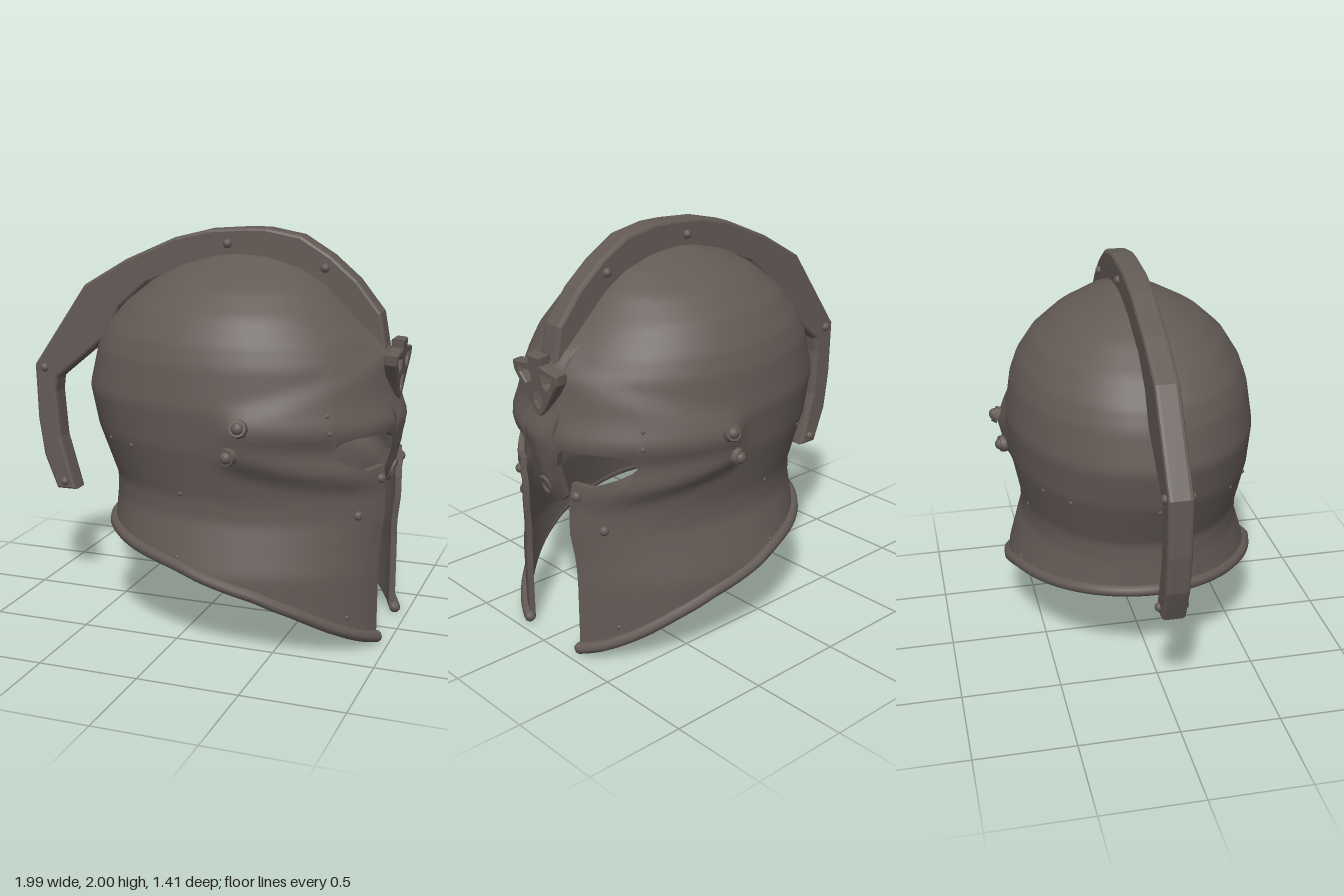
import * as THREE from 'three';
import { mergeGeometries, mergeVertices } from 'three/addons/utils/BufferGeometryUtils.js';

const CX = 0.2, TOP = 1.885, CHEEK = 0.33;

// Shell levels: height, back x, front x, half width
const LEVELS = [
  [0, -0.52, 0.98, 0.64], [0.4, -0.52, 0.98, 0.64], [0.5, -0.5, 0.98, 0.61],
  [0.65, -0.49, 1.0, 0.565], [0.75, -0.49, 1.0, 0.565], [0.85, -0.53, 0.98, 0.585],
  [1.0, -0.59, 0.955, 0.615], [1.2, -0.635, 0.94, 0.63], [1.4, -0.59, 0.9, 0.6],
  [1.5, -0.545, 0.84, 0.565], [1.62, -0.44, 0.73, 0.49], [1.73, -0.3, 0.62, 0.37],
  [1.81, -0.15, 0.5, 0.22], [1.86, 0.02, 0.35, 0.1], [TOP, 0.15, 0.16, 0.005],
];
// Opening edges by angle from the face, and the lower rim by x
const UPPER_EDGE = [[0, 0.75], [0.09, 0.755], [0.155, 0.79], [0.165, 0.97], [0.2, 1.04],
  [0.25, 1.065], [0.6, 1.07], [0.72, 1.05], [0.78, 1.0]];
const LOWER_EDGE = [[0.33, 0.91], [0.5, 0.9], [0.66, 0.94], [0.74, 0.97], [0.78, 1.0]];
const RIM = [[-0.52, 0.505], [-0.1, 0.455], [0.04, 0.435], [0.43, 0.32], [0.63, 0.23], [0.8, 0.125], [0.94, 0.032]];

function lookup(table, t, k = 1) {
  if (t <= table[0][0]) return table[0][k];
  for (let i = 1; i < table.length; i++) {
    const p = table[i - 1], q = table[i];
    if (t <= q[0]) return p[k] + (q[k] - p[k]) * (t - p[0]) / (q[0] - p[0]);
  }
  return table[table.length - 1][k];
}
const smooth = THREE.MathUtils.smoothstep;
const bell = (d, w) => Math.exp(-(d * d) / (w * w));

// Raised face mask, brow ridge, under-eye ridge and blend into the crest
function relief(a, y) {
  const s = Math.min(a / 1.4, 1), fade = 1 - smooth(a, 1.35, 1.55);
  const hi = 1.5 - 0.29 * s, lo = 0.8 + 0.14 * s * s;
  const mask = smooth(y, lo - 0.04, lo + 0.04) * (1 - smooth(y, hi - 0.08, hi + 0.04));
  return fade * (0.02 * mask + 0.03 * bell(y - 1.11, 0.07)
    + 0.018 * bell(y - lo - 0.05, 0.06) * smooth(a, 0.4, 0.8))
    + 0.03 * bell(a, 0.15) * bell(y - 1.46, 0.1) + 0.012 * bell(a, 0.06) * bell(y - 0.95, 0.2);
}

// Point on the shell at an angle (0 = face) and height
function shell(theta, y, inner = false) {
  const a = Math.abs(theta), c = Math.cos(theta), s = Math.sin(theta);
  const end = lookup(LEVELS, y, c >= 0 ? 2 : 1), half = lookup(LEVELS, y, 3);
  const cx = CX - 0.045 * smooth(y, 1.6, TOP);
  const r = relief(a, y);
  let x = cx + Math.abs(end - cx) * c + r * c;
  let z = half * s + r * s;
  if (a < 0.2) x -= 0.1 * THREE.MathUtils.clamp((1 - y) / 0.25, 0, 1);
  if (inner) {
    x = CX + (x - CX) * 0.96;
    z *= 0.96;
    y -= 0.03 * smooth(y, 1.5, TOP);
  }
  return new THREE.Vector3(x, y, z);
}
const upperEdge = t => lookup(UPPER_EDGE, Math.abs(t));
const lowerEdge = t => lookup(LOWER_EDGE, Math.abs(t));
const rimY = t => lookup(RIM, shell(t, 0.4).x);

// Grid of points f(i, j) turned into faces
function grid(nu, nv, f, flip = false) {
  const pos = [], idx = [];
  for (let i = 0; i <= nu; i++) for (let j = 0; j <= nv; j++) pos.push(...f(i, j).toArray());
  for (let i = 0; i < nu; i++) for (let j = 0; j < nv; j++) {
    const a = i * (nv + 1) + j, b = a + 1, c = a + nv + 1, d = c + 1;
    idx.push(...(flip ? [a, c, b, b, c, d] : [a, b, c, b, d, c]));
  }
  const g = new THREE.BufferGeometry();
  g.setAttribute('position', new THREE.Float32BufferAttribute(pos, 3));
  g.setIndex(idx);
  return g;
}

export function createModel() {
  const root = new THREE.Group();
  const helmet = new THREE.Group();
  helmet.name = 'helmet';
  helmet.position.z = -0.01;
  root.add(helmet);

  const metal = new THREE.MeshStandardMaterial({ color: 0x635a55, side: THREE.DoubleSide });
  metal.name = 'dark bronze';
  const add = (name, geometry, parent = helmet) => {
    const m = new THREE.Mesh(geometry, metal);
    m.name = name;
    parent.add(m);
    return m;
  };

  // Angle columns, closer together around the face
  const half = [0, 0.045, 0.09, 0.155, 0.165, 0.2, 0.25, CHEEK, 0.42, 0.5, 0.6, 0.66, 0.72, 0.74, 0.78];
  for (let i = 1; i <= 36; i++) half.push(0.78 + (Math.PI - 0.78) * i / 36);
  const all = [...half.slice(1).reverse().map(t => -t), ...half];
  const left = all.filter(t => t >= CHEEK), right = all.filter(t => t <= -CHEEK);

  // Dome, nose guard, cheeks and neck as outer and inner skins
  for (const inner of [false, true]) {
    const dome = grid(all.length - 1, 40, (i, j) => {
      const e = upperEdge(all[i]), v = 1 - Math.pow(1 - j / 40, 1.5);
      return shell(all[i], e + (TOP - e) * v, inner);
    }, inner);
    const lower = [left, right].map(cols => grid(cols.length - 1, 20, (i, j) => {
      const b = rimY(cols[i]);
      return shell(cols[i], b + (lowerEdge(cols[i]) - b) * j / 20, inner);
    }, inner));
    const g = mergeVertices(mergeGeometries([dome, ...lower]), 1e-4);
    g.computeVertexNormals();
    add(inner ? 'innerShell' : 'outerShell', g);
  }

  // Thickness along the face opening
  const edge = (name, pts) => {
    const g = grid(pts.length - 1, 1, (i, j) => shell(pts[i][0], pts[i][1], j === 1)).toNonIndexed();
    g.computeVertexNormals();
    add(name, g);
  };
  edge('browEdge', all.filter(t => Math.abs(t) < 0.79).map(t => [t, upperEdge(t)]));
  for (const s of [1, -1]) {
    const front = [];
    for (let i = 0; i <= 16; i++) {
      const b = rimY(CHEEK);
      front.push([s * CHEEK, b + (lowerEdge(CHEEK) - b) * i / 16]);
    }
    edge('cheekEdge', front);
    edge('eyeEdge', left.filter(t => t < 0.79).map(t => [s * t, lowerEdge(t)]));
  }

  // Rolled rim around the neck and cheeks
  const rimPts = [];
  for (let i = 0; i <= 48; i++) {
    const t = CHEEK + (2 * Math.PI - 2 * CHEEK) * i / 48;
    const w = t > Math.PI ? t - 2 * Math.PI : t;
    rimPts.push(shell(w, rimY(w)));
  }
  const rimCurve = new THREE.CatmullRomCurve3(rimPts);
  add('rolledRim', new THREE.TubeGeometry(rimCurve, 120, 0.03, 8));
  for (const p of [rimPts[0], rimPts[48]]) add('rimEnd', new THREE.SphereGeometry(0.03, 8, 6)).position.copy(p);

  // Crest bar that sweeps over the dome and hangs behind
  const outer = [[-0.87, 0.575], [-0.94, 0.75], [-0.97, 0.95], [-0.98, 1.24], [-0.685, 1.67], [-0.45, 1.81],
    [-0.18, 1.93], [0, 1.975], [0.2, 1.99], [0.3, 1.99], [0.47, 1.96], [0.62, 1.87], [0.75, 1.76], [0.87, 1.61],
    [0.9, 1.45]];
  const under = [[0.8, 1.45], [0.7, 1.62], [0.55, 1.74], [0.4, 1.81], [0.15, 1.85], [-0.1, 1.81],
    [-0.35, 1.71], [-0.5, 1.58], [-0.58, 1.42], [-0.87, 1.18], [-0.88, 1.1], [-0.86, 0.85], [-0.78, 0.575]];
  const bar = new THREE.Shape([...outer, ...under].map(p => new THREE.Vector2(...p)));
  const barGeo = new THREE.ExtrudeGeometry(bar, {
    depth: 0.08, bevelThickness: 0.02, bevelSize: 0.015, bevelOffset: -0.004, bevelSegments: 2,
  });
  barGeo.translate(0, 0, -0.04);
  add('crestBar', barGeo);

  // Pierced forehead ornament
  const mirror = pts => [...pts, ...pts.slice().reverse().map(([u, y]) => [-u, y])];
  const toPts = pts => pts.map(p => new THREE.Vector2(p[0], p[1] - 1.2));
  const badge = new THREE.Shape(toPts(mirror([[0.045, 1.49], [0.04, 1.45], [0.09, 1.44], [0.165, 1.43],
    [0.16, 1.39], [0.09, 1.3], [0.04, 1.23], [0.008, 1.2]])));
  for (const s of [1, -1]) {
    badge.holes.push(new THREE.Path(toPts([[0.03, 1.4], [0.06, 1.42], [0.13, 1.415], [0.125, 1.385],
      [0.08, 1.34], [0.04, 1.36]].map(([u, y]) => [s * u, y]))));
  }
  badge.holes.push(new THREE.Path(toPts(mirror([[0.012, 1.32], [0.045, 1.31], [0.035, 1.26], [0.012, 1.235]]))));
  const ornament = add('foreheadOrnament', new THREE.ExtrudeGeometry(badge, {
    depth: 0.045, bevelThickness: 0.008, bevelSize: 0.006, bevelSegments: 1,
  }).rotateY(Math.PI / 2));
  ornament.position.set(0.92, 1.2, 0);
  ornament.rotation.z = -0.07;

  // Small ring on the nose guard
  const ring = add('noseRing', new THREE.TorusGeometry(0.032, 0.009, 6, 14).rotateY(Math.PI / 2));
  ring.position.copy(shell(0, 0.835)).x += 0.002;
  ring.scale.y = 1.5;
  ring.rotation.z = -0.35;

  // Rivets seated on the shell along its normal
  const up = new THREE.Vector3(0, 1, 0);
  function rivet(name, x, y, r, side, bolt = false) {
    const reach = x >= CX ? lookup(LEVELS, y, 2) - CX : CX - lookup(LEVELS, y, 1);
    const t = side * Math.acos(THREE.MathUtils.clamp((x - CX) / reach, -1, 1));
    const p = shell(t, y);
    const n = shell(t, y + 0.02).sub(p).cross(shell(t + 0.02, y).sub(p)).normalize();
    const g = new THREE.Group();
    g.name = name;
    g.position.copy(p);
    g.quaternion.setFromUnitVectors(up, n);
    const head = add('head', new THREE.SphereGeometry(r, 12, 8), g);
    if (bolt) {
      add('collar', new THREE.CylinderGeometry(r, r * 1.1, 0.03, 8).translate(0, 0.01, 0), g);
      head.scale.setScalar(0.75);
      head.position.y = 0.018;
    } else head.scale.y = 0.8;
    helmet.add(g);
  }
  for (const s of [1, -1]) {
    rivet('templeBolt', 0.36, 1.14, 0.042, s, true);
    rivet('templeBolt', 0.31, 1.0, 0.042, s, true);
    rivet('cheekRivet', 0.925, 0.85, 0.024, s);
    rivet('cheekRivet', 0.86, 0.68, 0.024, s);
    for (const [x, y] of [[0.72, 1.19], [0.72, 1.11], [0.04, 0.77], [0.04, 0.465], [0.83, 0.18],
      [-0.23, 0.975], [-0.39, 0.975], [-0.58, 0.975]]) rivet('stud', x, y, 0.011, s);
    for (const [x, y] of [[0.1, 1.92], [0.6, 1.82], [-0.93, 1.23], [-0.83, 0.61]]) {
      add('crestRivet', new THREE.SphereGeometry(0.023, 12, 8)).position.set(x, y, s * 0.06);
    }
  }
  return root;
}
